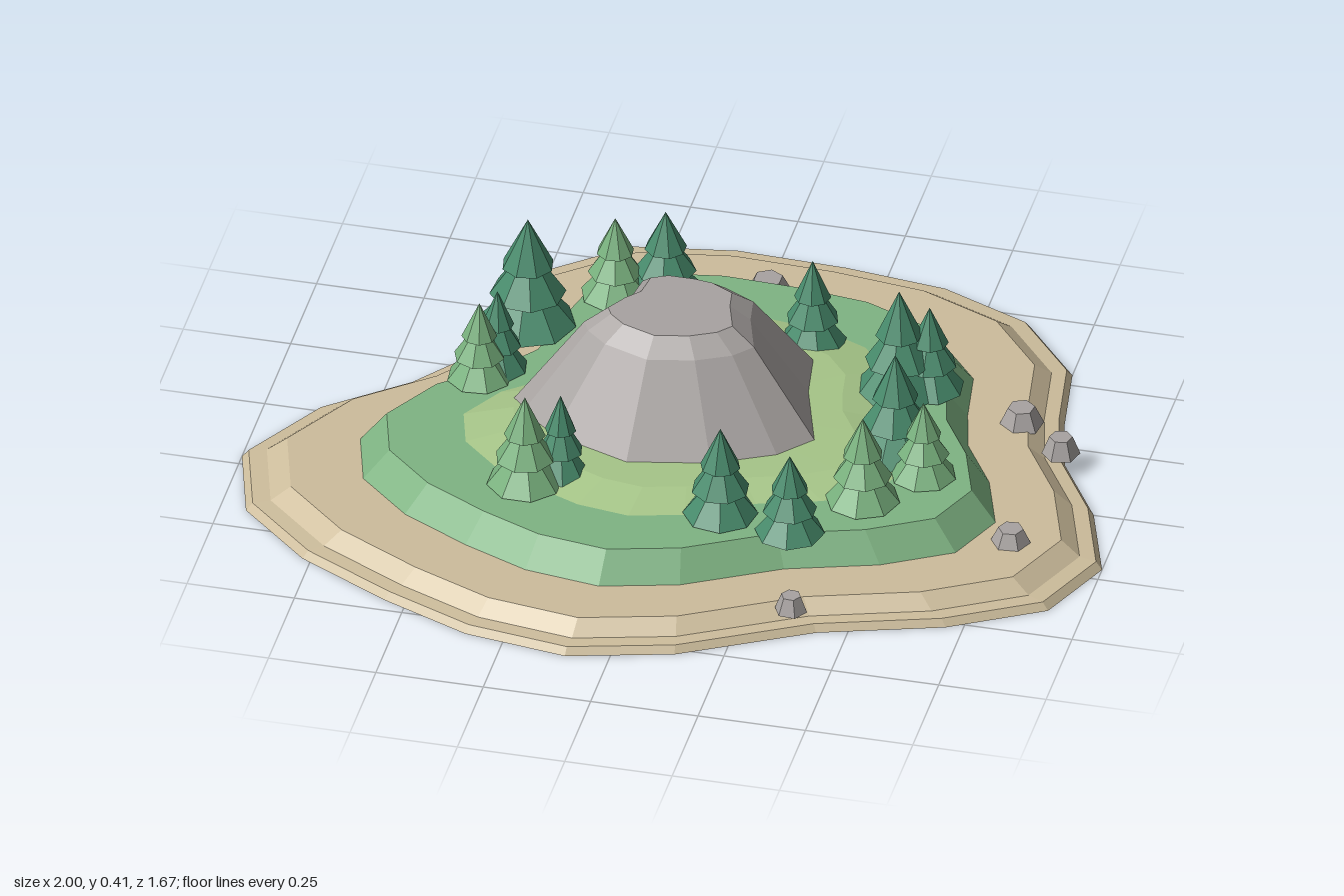
import * as THREE from 'three';

const mat = (name, color) => {
  const m = new THREE.MeshStandardMaterial({ color, flatShading: true });
  m.name = name;
  return m;
};

// Shoreline and mountain foot as [x, z] points
const SHORE = [
  [1, .21], [.92, .4], [.71, .52], [.43, .61], [.14, .77], [-.1, .835], [-.34, .8], [-.55, .71],
  [-.77, .59], [-.94, .43], [-1, .22], [-.88, .01], [-.7, -.14], [-.6, -.27], [-.57, -.45], [-.52, -.65],
  [-.34, -.8], [-.1, -.84], [.16, -.83], [.4, -.8], [.61, -.71], [.75, -.54], [.78, -.34], [.82, -.18], [.93, 0],
];
const FOOT = [
  [.36, .11], [.29, .19], [.15, .26], [-.04, .3], [-.23, .23], [-.32, .15], [-.35, .09], [-.28, -.03],
  [-.21, -.11], [-.19, -.25], [-.1, -.295], [.05, -.295], [.15, -.28], [.28, -.21], [.3, -.08],
];

// Stacks scaled copies of an outline; each ring is [scale, height]
function terrace(outline, rings) {
  const n = outline.length, pos = [];
  const at = ([s, y], i) => [outline[i % n][0] * s, y, outline[i % n][1] * s];
  for (let r = 0; r < rings.length - 1; r++) {
    const a = rings[r], b = rings[r + 1];
    for (let i = 0; i < n; i++) {
      if (a[0] > 0) pos.push(...at(a, i), ...at(b, i), ...at(a, i + 1));
      if (b[0] > 0) pos.push(...at(a, i + 1), ...at(b, i), ...at(b, i + 1));
    }
  }
  const g = new THREE.BufferGeometry();
  g.setAttribute('position', new THREE.Float32BufferAttribute(pos, 3));
  g.computeVertexNormals();
  return g;
}

// Three overlapping cones
function tree(x, z, radius, top, material, turn) {
  const group = new THREE.Group();
  const base = .12, h = top - base;
  for (const [from, to, r] of [[.03, .52, 1], [.31, .76, .78], [.57, 1, .54]]) {
    const cone = new THREE.Mesh(new THREE.ConeGeometry(radius * r, (to - from) * h, 8), material);
    cone.name = 'foliageTier';
    cone.position.y = base + (from + to) / 2 * h;
    cone.rotation.y = turn + from;
    group.add(cone);
  }
  group.position.set(x, 0, z);
  group.name = 'pineTree';
  return group;
}

export function createModel() {
  const model = new THREE.Group();
  model.name = 'island';
  const sand = mat('sand', 0xcdbd9c);
  const grass = mat('grass', 0x7fb483);
  const meadow = mat('meadow', 0xa6c588);
  const stone = mat('stone', 0xa8a3a1);
  const darkPine = mat('darkPine', 0x478a6b);
  const lightPine = mat('lightPine', 0x78b07d);

  const add = (name, geometry, material) => {
    const mesh = new THREE.Mesh(geometry, material);
    mesh.name = name;
    model.add(mesh);
    return mesh;
  };

  // Ground layers
  add('beach', terrace(SHORE, [[0, 0], [1, 0], [.985, .018], [.945, .02], [.9, .052], [0, .052]]), sand);
  add('grassTerrace', terrace(SHORE, [[.74, .05], [.68, .122], [0, .122]]), grass);
  add('meadowMound', terrace(SHORE, [[.51, .123], [.4, .143], [0, .145]]), meadow);

  // Flat-topped mountain with a bevelled rim
  const mountain = add('mountain', terrace(FOOT, [[1, .135], [.56, .342], [.41, .38], [0, .38]]), stone);
  mountain.position.set(-.06, 0, -.05);

  // Trees: x, z, radius, top height, light or dark
  [
    [-.455, -.28, .112, .405, 0], [-.29, -.44, .08, .33, 1], [-.18, -.47, .09, .345, 0],
    [-.48, -.09, .07, .33, 0], [-.51, -.04, .075, .325, 1], [-.31, .35, .088, .355, 1],
    [-.24, .295, .066, .335, 0], [.15, .37, .086, .355, 0], [.32, .405, .08, .33, 0],
    [.45, .24, .086, .345, 1], [.56, .11, .076, .32, 1], [.475, .03, .098, .385, 0],
    [.425, -.215, .1, .39, 0], [.49, -.24, .08, .34, 0], [.19, -.355, .078, .345, 0],
  ].forEach(([x, z, r, top, light], i) => {
    model.add(tree(x, z, r, top, light ? lightPine : darkPine, i * .7));
  });

  // Beach rocks: x, z, radius, height
  [
    [.02, -.63, .057, .045], [.7, -.255, .052, .045], [.815, -.16, .044, .045],
    [.79, .22, .048, .04], [.37, .6, .038, .04],
  ].forEach(([x, z, r, h], i) => {
    const rock = add('beachRock', new THREE.CylinderGeometry(r * .6, r, h, 6), stone);
    rock.position.set(x, .047 + h / 2, z);
    rock.rotation.y = i * .9;
  });

  return model;
}
